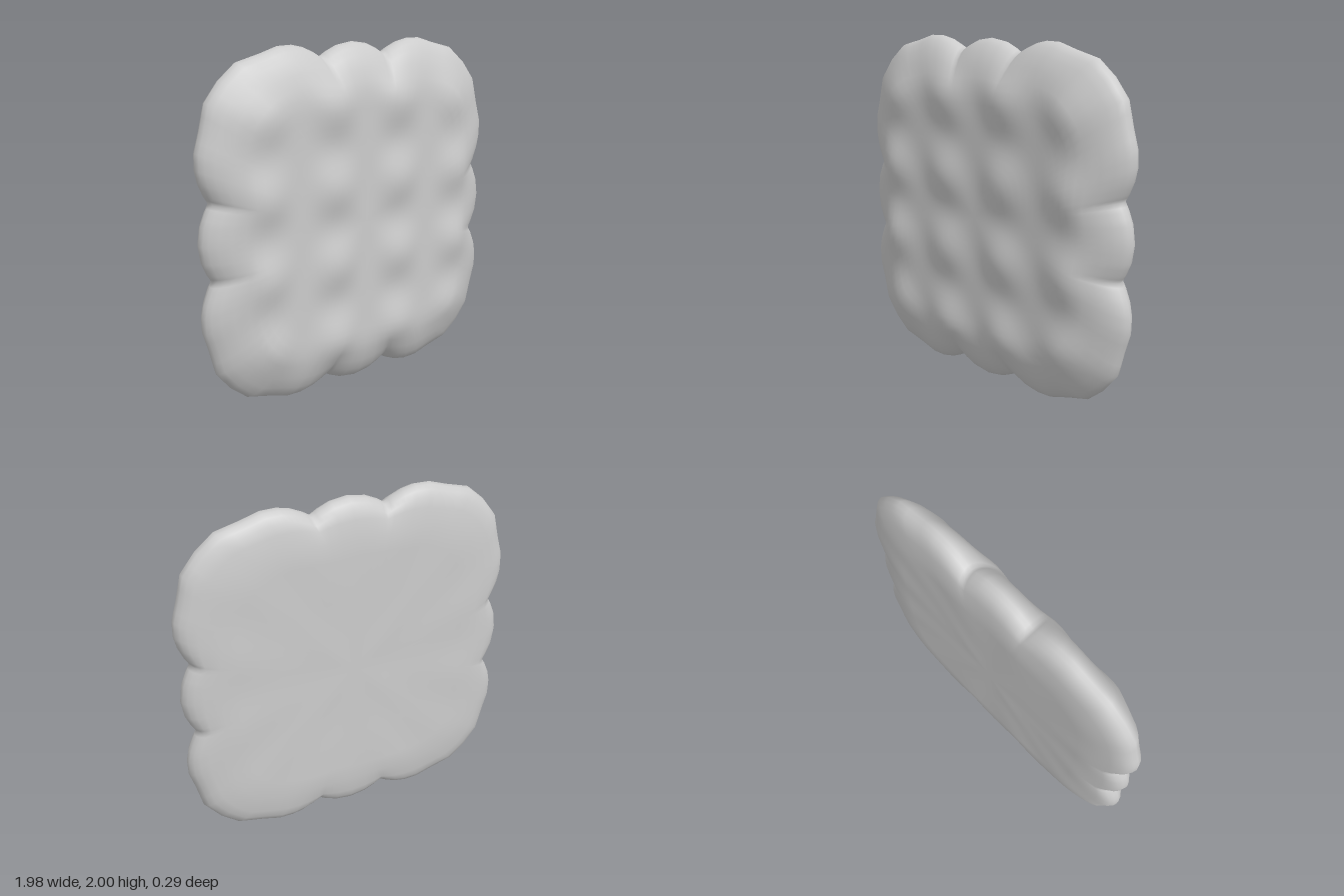
import * as THREE from 'three';

// One eighth of the scalloped outline, from the middle of an edge to a corner
const OCTANT = [
  [0, 1], [0.1, 0.985], [0.17, 0.955], [0.215, 0.928], [0.26, 0.955], [0.33, 0.985],
  [0.4, 1], [0.49, 0.998], [0.6, 0.965], [0.74, 0.93], [0.845, 0.845],
];
// Section from the puffed face to the rim and round to the back: [fraction of outline, z]
const FRONT = [[0, 0.145], [0.7, 0.145], [0.75, 0.14], [0.8, 0.125], [0.87, 0.09], [0.93, 0.05], [0.97, 0.015], [0.99, -0.01], [1, -0.035]];
const BACK = [[0.993, -0.06], [0.975, -0.085], [0.945, -0.105], [0.9, -0.122], [0.8, -0.139], [0.7, -0.144], [0.45, -0.144], [0.2, -0.144], [0, -0.144]];

// Mirrors the octant and turns it round all four sides, halving each segment
function outline() {
  const quarter = [
    ...OCTANT.map(([u, v]) => [-u, v]),
    ...OCTANT.slice(1, -1).reverse().map(([u, v]) => [-v, u]),
  ];
  let side = quarter;
  const all = [];
  for (let k = 0; k < 4; k++) {
    all.push(...side);
    side = side.map(([x, y]) => [-y, x]);
  }
  return all.flatMap((p, i) => {
    const q = all[(i + 1) % all.length];
    return [p, [(p[0] + q[0]) / 2, (p[1] + q[1]) / 2]];
  });
}

function cushionGeometry() {
  const rim = outline();
  const n = rim.length;
  // Extra rings over the flat part of the front carry the quilting
  const inner = Array.from({ length: 17 }, (_, i) => [i * 0.041, 0.145]);
  const section = [...inner, ...FRONT.slice(1), ...BACK];
  const last = section.length - 1;
  const positions = [];
  const puff = (t) => Math.sin((Math.PI * t) / 0.445) ** 2;

  section.forEach(([f, z], i) => {
    const isFront = i < inner.length + FRONT.length - 1;
    const scallop = THREE.MathUtils.smoothstep(f, isFront ? 0.68 : 0.8, 1);
    const quilt = (isFront ? 0.034 : 0.006) * (1 - THREE.MathUtils.smoothstep(f, 0.72, 0.98));
    const points = i === 0 || i === last ? [rim[0]] : rim;
    for (const [rx, ry] of points) {
      // Notches fade inward into a rounded square
      const norm = (Math.abs(rx) ** 4.5 + Math.abs(ry) ** 4.5) ** (1 / 4.5);
      const s = f * THREE.MathUtils.lerp(0.985 / norm, 1, scallop);
      const x = rx * s * 0.99;
      const y = ry * s;
      const dip = quilt * (1 - puff(x) * puff(y));
      positions.push(x, y + 1, z - Math.sign(z) * dip);
    }
  });

  const id = (i, j) => (i === 0 ? 0 : i === last ? 1 + (last - 1) * n : 1 + (i - 1) * n + (j % n));
  const index = [];
  for (let i = 0; i < last; i++) {
    for (let j = 0; j < n; j++) {
      if (i < last - 1) index.push(id(i, j), id(i + 1, j), id(i + 1, j + 1));
      else index.push(id(i, j), id(last, j), id(i, j + 1));
      if (i > 0 && i < last - 1) index.push(id(i, j), id(i + 1, j + 1), id(i, j + 1));
    }
  }
  const geometry = new THREE.BufferGeometry();
  geometry.setAttribute('position', new THREE.Float32BufferAttribute(positions, 3));
  geometry.setIndex(index);
  geometry.computeVertexNormals();
  return geometry;
}

export function createModel() {
  const group = new THREE.Group();
  group.name = 'quiltedCushion';
  const cushion = new THREE.Mesh(cushionGeometry(), new THREE.MeshStandardMaterial({ color: 0xcccccc }));
  cushion.name = 'cushion';
  group.add(cushion);
  return group;
}
